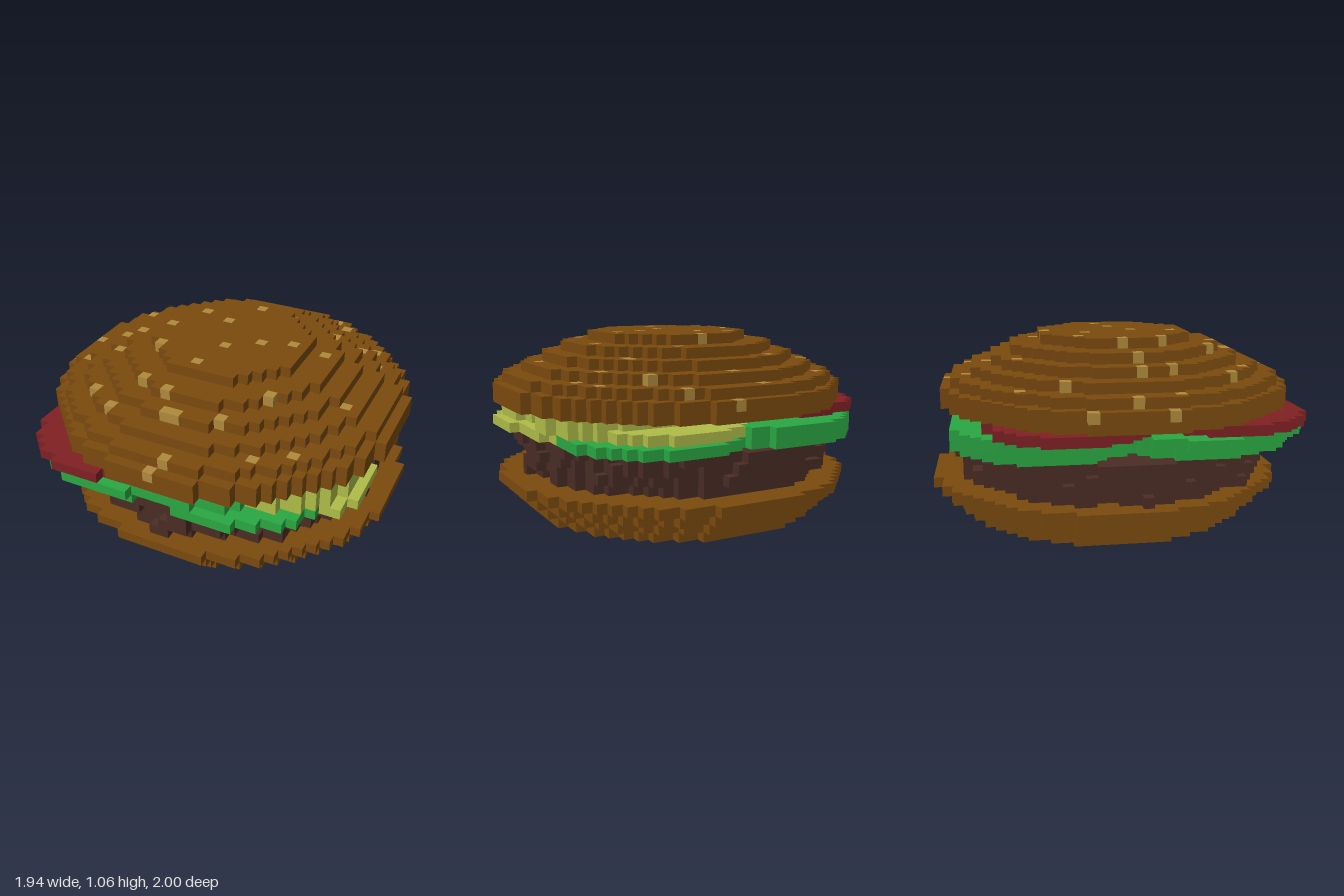
import * as THREE from 'three';

const V = 1 / 18; // voxel edge

const mat = (name, color) => {
  const m = new THREE.MeshStandardMaterial({ color });
  m.name = name;
  return m;
};

// name, colour name, colour
const PARTS = {
  bottomBun: mat('bun brown', 0x7b4a0e),
  patty: mat('meat brown', 0x4a2c24),
  lettuce: mat('lettuce green', 0x2aa843),
  pickles: mat('pickle green', 0xafbc48),
  tomato: mat('tomato red', 0x802023),
  sesameSeeds: mat('sesame tan', 0xb08a3c),
  baseStub: mat('stub grey', 0xb5b5b5),
};
PARTS.topBun = PARTS.bottomBun;

// Seed columns on the top bun, in voxels from its centre
const SEEDS = [
  [2, -17], [-2, -15], [6, -15], [0, -13], [8, -12], [12, -10], [-12, -10], [-6, -10], [3, -8],
  [8, -8], [8, -7], [11, -8], [0, -7], [13, -7], [-13, -6], [-17, -4], [-5, -4], [-2, -3], [9, -2],
  [6, -1], [-16, 0], [3, 0], [-12, 1], [-10, 1], [-7, 0], [-17, 3], [0, 2], [13, 3], [-15, 4],
  [-11, 4], [-6, 4], [-1, 6], [7, 7], [-5, 9], [-10, 10], [-2, 10], [4, 11], [11, 11], [-7, 12],
  [-1, 12], [0, 12], [8, 13], [1, 16], [0, 17],
];

// Six faces: outward normal and the two in-plane directions (u x v = n)
const FACES = [
  [[1, 0, 0], [0, 1, 0], [0, 0, 1]], [[-1, 0, 0], [0, 0, 1], [0, 1, 0]],
  [[0, 1, 0], [0, 0, 1], [1, 0, 0]], [[0, -1, 0], [1, 0, 0], [0, 0, 1]],
  [[0, 0, 1], [1, 0, 0], [0, 1, 0]], [[0, 0, -1], [0, 1, 0], [1, 0, 0]],
];

export function createModel() {
  const cells = new Map();
  const key = (i, l, j) => `${i},${l},${j}`;

  // Fill one voxel layer with a disc; centre and radius in voxels, wobble varies the edge
  const disc = (part, layer, cx, cz, r, wobble = () => 0) => {
    for (let i = -18; i <= 18; i++) {
      for (let j = -18; j < 18; j++) {
        const dx = i - cx, dz = j - cz;
        if (Math.hypot(dx, dz) <= r + wobble(Math.atan2(dz, dx))) cells.set(key(i, layer, j), part);
      }
    }
  };
  // The same disc in model units, over several layers
  const slice = (part, layers, x, z, r) =>
    layers.forEach((l) => disc(part, l, x / V, z / V - 0.5, r / V));

  // Bottom bun widens upward
  [14, 15, 16, 17].forEach((n, k) => disc('bottomBun', 1 + k, 0, -1, n + 0.62));

  // Ragged patty
  [15.1, 15.5, 15.7, 15.8].forEach((r, k) =>
    disc('patty', 5 + k, -0.5, -0.5, r, (a) => 0.35 * Math.sin(9 * a + k * 1.7) + 0.25 * Math.sin(17 * a + k)));

  // Lettuce leaves
  slice('lettuce', [9, 10], 0, 0, 0.62);
  slice('lettuce', [9], -0.31, 0.4, 0.55);
  slice('lettuce', [10], -0.33, 0.42, 0.58);
  slice('lettuce', [9, 10], -0.35, -0.38, 0.52);
  slice('lettuce', [9], 0.3, -0.38, 0.51);
  slice('lettuce', [10], 0.1, 0.45, 0.48);

  // Pickles on the left side
  slice('pickles', [9], 0.52, 0.32, 0.41);
  slice('pickles', [9], 0.45, 0, 0.42);
  slice('lettuce', [9], 0.25, 0.38, 0.56);
  slice('pickles', [9], 0.72, 0.3, 0.22);
  slice('pickles', [10, 11], 0.43, 0.36, 0.43);
  slice('pickles', [10, 11], 0.42, -0.2, 0.42);
  slice('pickles', [10], 0.25, -0.41, 0.43);

  // Tomato slices
  slice('tomato', [11], -0.44, 0.57, 0.43);
  slice('tomato', [11], -0.55, -0.28, 0.43);
  slice('tomato', [11], 0, 0.44, 0.42);

  // Stepped dome of the top bun
  [17, 17, 16, 14, 12, 10, 7].forEach((n, k) => disc('topBun', 12 + k, 0, 0, n + 0.62));

  // Each seed takes the top voxel of its column
  for (const [i, j] of SEEDS) {
    let l = 18;
    while (l > 12 && !cells.has(key(i, l, j))) l--;
    cells.set(key(i, l, j), 'sesameSeeds');
  }

  // Collect exposed faces by part
  const data = {};
  for (const [k, part] of cells) {
    const p = k.split(',').map(Number);
    const d = (data[part] ??= { pos: [], nor: [], idx: [] });
    const c = [p[0], p[1] + 0.5, p[2] + 0.5];
    for (const [n, u, v] of FACES) {
      if (cells.has(key(p[0] + n[0], p[1] + n[1], p[2] + n[2]))) continue;
      const b = d.pos.length / 3;
      for (const [s, t] of [[-1, -1], [1, -1], [1, 1], [-1, 1]]) {
        for (let a = 0; a < 3; a++) d.pos.push((c[a] + (n[a] + s * u[a] + t * v[a]) / 2) * V);
        d.nor.push(...n);
      }
      d.idx.push(b, b + 1, b + 2, b, b + 2, b + 3);
    }
  }

  const group = new THREE.Group();
  group.name = 'burger';
  const add = (name, geometry) => {
    const mesh = new THREE.Mesh(geometry, PARTS[name]);
    mesh.name = name;
    group.add(mesh);
    return mesh;
  };
  for (const [name, d] of Object.entries(data)) {
    const g = new THREE.BufferGeometry();
    g.setAttribute('position', new THREE.Float32BufferAttribute(d.pos, 3));
    g.setAttribute('normal', new THREE.Float32BufferAttribute(d.nor, 3));
    g.setIndex(d.idx);
    add(name, g);
  }

  // Small stub underneath
  add('baseStub', new THREE.BoxGeometry(2 * V, V, 2 * V)).position.y = V / 2;
  return group;
}
